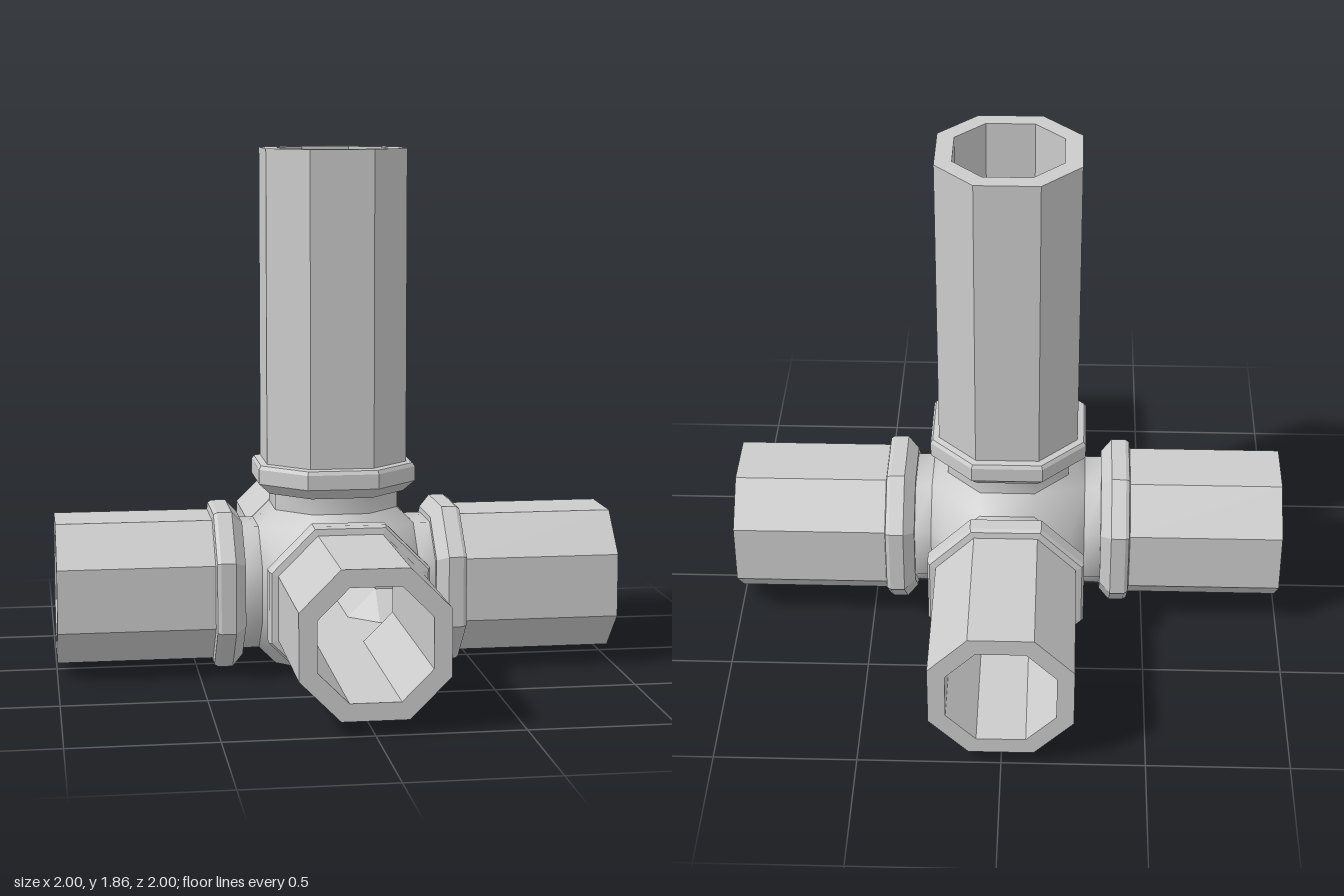
import * as THREE from 'three';
import { mergeVertices, toCreasedNormals } from 'three/addons/utils/BufferGeometryUtils.js';

const FLAT = 0.45;          // half length of an octagon's flat, relative to its apothem
const BORE = 0.19;          // apothem of the hollow inside
const NECK = 0.22, HUB = 0.28;

const flatMaterial = new THREE.MeshStandardMaterial({ color: 0xcccccc, flatShading: true });
const smoothMaterial = new THREE.MeshStandardMaterial({ color: 0xcccccc });

function fromTriangles(positions) {
  const geometry = new THREE.BufferGeometry();
  geometry.setAttribute('position', new THREE.Float32BufferAttribute(positions, 3));
  geometry.computeVertexNormals();
  return geometry;
}

// Octagonal sections [apothem, height] joined along y
function octagonLoft(profile) {
  const k = FLAT;
  const corners = [[1, -k], [1, k], [k, 1], [-k, 1], [-1, k], [-1, -k], [-k, -1], [k, -1]];
  const point = (i, j) => {
    const [r, h] = profile[i], [x, z] = corners[j % 8];
    return [x * r, h, z * r];
  };
  const positions = [];
  for (let i = 0; i < profile.length - 1; i++) {
    for (let j = 0; j < 8; j++) {
      const a = point(i, j), b = point(i + 1, j), c = point(i, j + 1), d = point(i + 1, j + 1);
      if (profile[i][0] > 0) positions.push(...a, ...c, ...b);
      if (profile[i + 1][0] > 0) positions.push(...c, ...d, ...b);
    }
  }
  return fromTriangles(positions);
}

// Corner and edge facets of a bevelled cube, leaving its octagonal openings free
function hubFacets(s, m, l, inward) {
  const positions = [];
  const addFace = (points) => {
    const p = points.map((q) => new THREE.Vector3(...q));
    for (let i = 1; i < p.length - 1; i++) {
      const normal = p[i].clone().sub(p[0]).cross(p[i + 1].clone().sub(p[0]));
      if (normal.length() < 1e-7) continue;
      const outward = normal.dot(p[0]) > 0;
      const order = outward !== inward ? [p[0], p[i], p[i + 1]] : [p[0], p[i + 1], p[i]];
      order.forEach((v) => positions.push(v.x, v.y, v.z));
    }
  };
  const corner = [[l, m, s], [l, s, m], [m, s, l], [s, m, l], [s, l, m], [m, l, s]];
  for (const u of [-1, 1]) for (const v of [-1, 1]) {
    for (const w of [-1, 1]) addFace(corner.map(([x, y, z]) => [x * u, y * v, z * w]));
    for (let axis = 0; axis < 3; axis++) {
      const place = (along, p, q) => {
        const out = [0, 0, 0];
        out[axis] = along;
        out[(axis + 1) % 3] = p * u;
        out[(axis + 2) % 3] = q * v;
        return out;
      };
      addFace([place(-s, l, m), place(s, l, m), place(s, m, l), place(-s, m, l)]);
    }
  }
  return fromTriangles(positions);
}

function smooth(geometry) {
  geometry.deleteAttribute('normal');
  return toCreasedNormals(mergeVertices(geometry, 1e-4), 1.0);
}

function addMesh(parent, name, geometry, material = flatMaterial) {
  const mesh = new THREE.Mesh(geometry, material);
  mesh.name = name;
  parent.add(mesh);
  return mesh;
}

// One hollow pipe with its flared collar and neck, pointing along +y
function createArm(name, length) {
  const arm = new THREE.Group();
  arm.name = name;
  addMesh(arm, 'pipe', octagonLoft([[BORE, BORE], [BORE, length], [0.25, length], [0.25, 0.44]]));
  addMesh(arm, 'collar', octagonLoft([
    [0.25, 0.447], [0.272, 0.443], [0.28, 0.43], [0.28, 0.378], [0.24, 0.34], [NECK, 0.34],
  ]));
  addMesh(arm, 'neck', smooth(octagonLoft([[NECK, 0.34], [NECK, HUB]])), smoothMaterial);
  return arm;
}

export function createModel() {
  const model = new THREE.Group();
  model.name = 'pipeJunction';
  const joint = new THREE.Group();
  joint.name = 'joint';
  joint.position.y = 0.3;
  model.add(joint);

  // Central hub: bevelled shell outside, crossing bores inside
  addMesh(joint, 'hubShell', smooth(hubFacets(NECK * FLAT, NECK, HUB, false)), smoothMaterial);
  addMesh(joint, 'hubInterior', hubFacets(BORE * FLAT, BORE, BORE, true));

  // Closed underside with a floor inside
  const base = new THREE.Group();
  base.name = 'base';
  base.rotation.x = Math.PI;
  addMesh(base, 'baseCap', octagonLoft([[0, 0.3], [0.13, 0.3], [NECK, HUB]]));
  addMesh(base, 'baseFloor', octagonLoft([[BORE, BORE], [0, BORE]]));
  joint.add(base);

  // Four short horizontal arms and the tall upright
  const quarter = Math.PI / 2;
  const arms = [
    ['leftArm', 1, 0, -quarter], ['rightArm', 1, 0, quarter],
    ['frontArm', 1, quarter, 0], ['backArm', 1, -quarter, 0],
    ['uprightArm', 1.56, 0, 0],
  ];
  for (const [name, length, rx, rz] of arms) {
    const arm = createArm(name, length);
    arm.rotation.set(rx, 0, rz);
    joint.add(arm);
  }
  return model;
}
